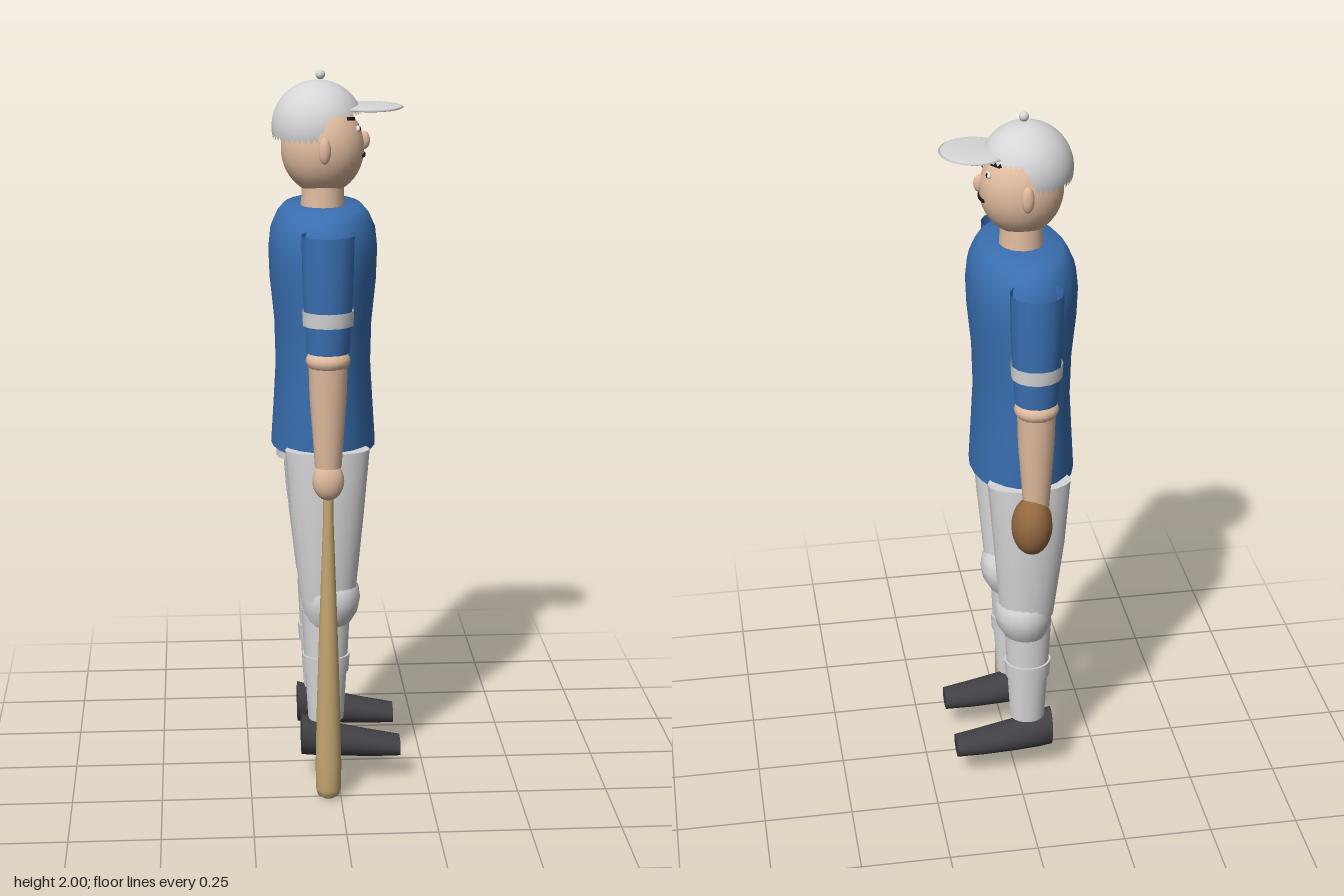
import * as THREE from 'three';
import { toCreasedNormals } from 'three/addons/utils/BufferGeometryUtils.js';

const mat = (name, color, side = THREE.FrontSide) => {
  const m = new THREE.MeshStandardMaterial({ color, side });
  m.name = name;
  return m;
};

// Elliptical tube through sections [y, halfX, halfZ, centreX, centreZ], listed from top to bottom
function loft(sections, sides = 20, open = false) {
  const k = sections.length - 1;
  const g = new THREE.CylinderGeometry(1, 1, 1, sides, k, open);
  const p = g.attributes.position;
  for (let i = 0; i < p.count; i++) {
    const [y, hx, hz, cx = 0, cz = 0] = sections[Math.round((0.5 - p.getY(i)) * k)];
    p.setXYZ(i, p.getX(i) * hx + cx, y, p.getZ(i) * hz + cz);
  }
  return toCreasedNormals(g, 0.9);
}

export function createModel() {
  const blue = mat('jersey blue', 0x3a70b2, THREE.DoubleSide);
  const white = mat('cloth white', 0xd6d6d8, THREE.DoubleSide);
  const skin = mat('skin', 0xe0bb9e);
  const wood = mat('bat wood', 0xc4a670);
  const leather = mat('glove leather', 0x94693f);
  const shoeMat = mat('shoe charcoal', 0x404045);
  const dark = mat('face black', 0x1c1c1e);
  const eyeWhite = mat('eye white', 0xf0f0f0);

  const root = new THREE.Group();
  const body = new THREE.Group();
  body.name = 'player';
  body.position.set(-0.035, 0, 0.0075);
  root.add(body);

  const add = (name, geo, m, pos = [0, 0, 0], parent = body) => {
    const mesh = new THREE.Mesh(geo, m);
    mesh.name = name;
    mesh.position.set(...pos);
    parent.add(mesh);
    return mesh;
  };
  const ball = (name, m, pos, size, w = 20, h = 14) =>
    add(name, new THREE.SphereGeometry(1, w, h).scale(...size), m, pos);

  // Jersey: closed shoulders, open hem
  add('jersey', loft([
    [1.636, 0.05, 0.06], [1.635, 0.108, 0.182], [1.615, 0.125, 0.207], [1.575, 0.143, 0.228],
    [1.52, 0.149, 0.235], [1.44, 0.146, 0.231], [1.32, 0.134, 0.217], [1.2, 0.131, 0.211],
    [1.08, 0.138, 0.207], [0.97, 0.145, 0.2],
  ], 24, true), blue);
  add('waistband', loft([[1.02, 0.13, 0.1], [0.93, 0.13, 0.1]], 20, true), white);

  // Neck and head
  add('neck', loft([[1.74, 0.056, 0.062], [1.66, 0.058, 0.064], [1.62, 0.062, 0.068]]), skin);
  const H = { y: 1.79, x: 0.113, h: 0.125, z: 0.105 };
  ball('head', skin, [0, H.y, 0], [H.x, H.h, H.z], 32, 22);
  const faceX = (y, z) => H.x * Math.sqrt(1 - ((y - H.y) / H.h) ** 2 - (z / H.z) ** 2);
  ball('nose', skin, [faceX(1.81, 0), 1.81, 0], [0.017, 0.025, 0.012]);
  for (let i = -3; i <= 3; i++) {
    const z = i * 0.01;
    const seg = add('mouth', new THREE.BoxGeometry(0.007, 0.009, 0.012), dark, [faceX(1.772, z), 1.772, z]);
    seg.rotation.y = -z * 9;
  }
  for (const s of [-1, 1]) {
    const ex = faceX(1.845, s * 0.038);
    ball('eye', eyeWhite, [ex, 1.845, s * 0.038], [0.006, 0.009, 0.015]);
    ball('pupil', dark, [ex + 0.004, 1.845, s * 0.038], [0.004, 0.007, 0.007]);
    const brow = add('eyebrow', new THREE.BoxGeometry(0.009, 0.009, 0.04), dark,
      [faceX(1.873, s * 0.04) + 0.001, 1.873, s * 0.04]);
    brow.rotation.set(-s * 0.15, -s * 0.4, 0);
    ball('ear', skin, [0, 1.795, s * 0.102], [0.017, 0.036, 0.014]);
  }

  // Cap: sphere whose edge drops low around the back and rises over the face
  const cap = new THREE.SphereGeometry(0.125, 48, 16);
  const p = cap.attributes.position;
  const uv = cap.attributes.uv;
  for (let i = 0; i < p.count; i++) {
    const phi = uv.getX(i) * Math.PI * 2;
    const fromBack = Math.min(phi, Math.PI * 2 - phi);
    const t = THREE.MathUtils.smoothstep(fromBack, 1.45, 1.85);
    const theta = (1 - uv.getY(i)) * THREE.MathUtils.lerp(1.84, 1.28, t);
    const r = 0.125 * Math.sin(theta);
    p.setXYZ(i, -r * Math.cos(phi), 0.125 * Math.cos(theta), r * Math.sin(phi));
    cap.attributes.normal.setXYZ(i, p.getX(i) / 0.125, p.getY(i) / 0.125, p.getZ(i) / 0.125);
  }
  add('cap', cap, white, [-0.013, 1.848, 0]);
  ball('capButton', white, [-0.006, 1.987, 0], [0.013, 0.013, 0.013]);
  ball('capBrim', white, [0.126, 1.9, 0], [0.093, 0.009, 0.104], 36, 8);

  for (const s of [-1, 1]) {
    // Arm
    const az = s * 0.243;
    const arm = new THREE.Group();
    arm.name = s > 0 ? 'batArm' : 'gloveArm';
    arm.position.z = az;
    body.add(arm);
    add('sleeve', loft([[1.595, 0.071, 0.069], [1.45, 0.068, 0.065], [1.28, 0.058, 0.055]], 14, true), blue, [0, 0, 0], arm);
    add('sleeveStripe', loft([[1.395, 0.07, 0.067], [1.355, 0.068, 0.064]], 14, true), white, [0, 0, 0], arm);
    add('upperArm', new THREE.SphereGeometry(1, 20, 14).scale(0.058, 0.058, 0.055), skin, [0, 1.45, 0], arm);
    add('elbow', new THREE.SphereGeometry(1, 20, 12).scale(0.06, 0.035, 0.058), skin, [0, 1.258, 0], arm);
    add('forearm', loft([[1.27, 0.053, 0.052], [1.16, 0.05, 0.048], [0.965, 0.036, 0.034, 0, s * 0.006]], 16), skin, [0, 0, 0], arm);
    add('hand', new THREE.SphereGeometry(1, 18, 14).scale(0.043, 0.054, 0.031), skin, [0, 0.925, s * 0.008], arm);

    // Leg
    const leg = new THREE.Group();
    leg.name = s > 0 ? 'leftLeg' : 'rightLeg';
    body.add(leg);
    const side = (list) => list.map(([y, hx, hz, cx, cz]) => [y, hx, hz, cx, s * cz]);
    add('thigh', loft(side([
      [0.988, 0.116, 0.062, 0.003, 0.157], [0.8, 0.101, 0.066, 0.002, 0.156], [0.55, 0.076, 0.064, 0.005, 0.136],
    ])), white, [0, 0, 0], leg);
    add('knee', loft(side([
      [0.605, 0.066, 0.066, 0.012, 0.128], [0.585, 0.077, 0.08, 0.014, 0.128], [0.55, 0.082, 0.086, 0.014, 0.127],
      [0.515, 0.077, 0.081, 0.012, 0.126], [0.48, 0.062, 0.062, 0.006, 0.125],
    ])), white, [0, 0, 0], leg);
    add('shin', loft(side([
      [0.52, 0.068, 0.058, 0, 0.125], [0.38, 0.061, 0.054, 0, 0.125], [0.19, 0.05, 0.046, 0, 0.123],
    ])), white, [0, 0, 0], leg);
    add('sockBand', loft(side([[0.385, 0.067, 0.06, 0, 0.125], [0.335, 0.064, 0.057, 0, 0.125]])), white, [0, 0, 0], leg);

    // Shoe: lofted upright from toe to heel, then laid along x
    const shoe = loft([
      [0.21, 0.028, 0.042, -0.099], [0.13, 0.037, 0.047, -0.107], [0.04, 0.045, 0.051, -0.119],
      [-0.03, 0.055, 0.05, -0.132], [-0.07, 0.06, 0.044, -0.14],
    ], 20).rotateZ(-Math.PI / 2);
    add('shoe', shoe, shoeMat, [0, 0, s * 0.122], leg);
  }

  // Glove and bat
  ball('glove', leather, [0.014, 0.91, -0.262], [0.056, 0.087, 0.063], 22, 16).rotation.x = -0.1;
  const batProfile = [[0, 0], [0.018, 0.002], [0.03, 0.01], [0.035, 0.03], [0.036, 0.1], [0.033, 0.25],
    [0.027, 0.45], [0.02, 0.65], [0.014, 0.82], [0.013, 0.93], [0, 0.93]];
  add('bat', new THREE.LatheGeometry(batProfile.map(([x, y]) => new THREE.Vector2(x, y)), 20), wood, [0, 0, 0.246]);

  return root;
}
